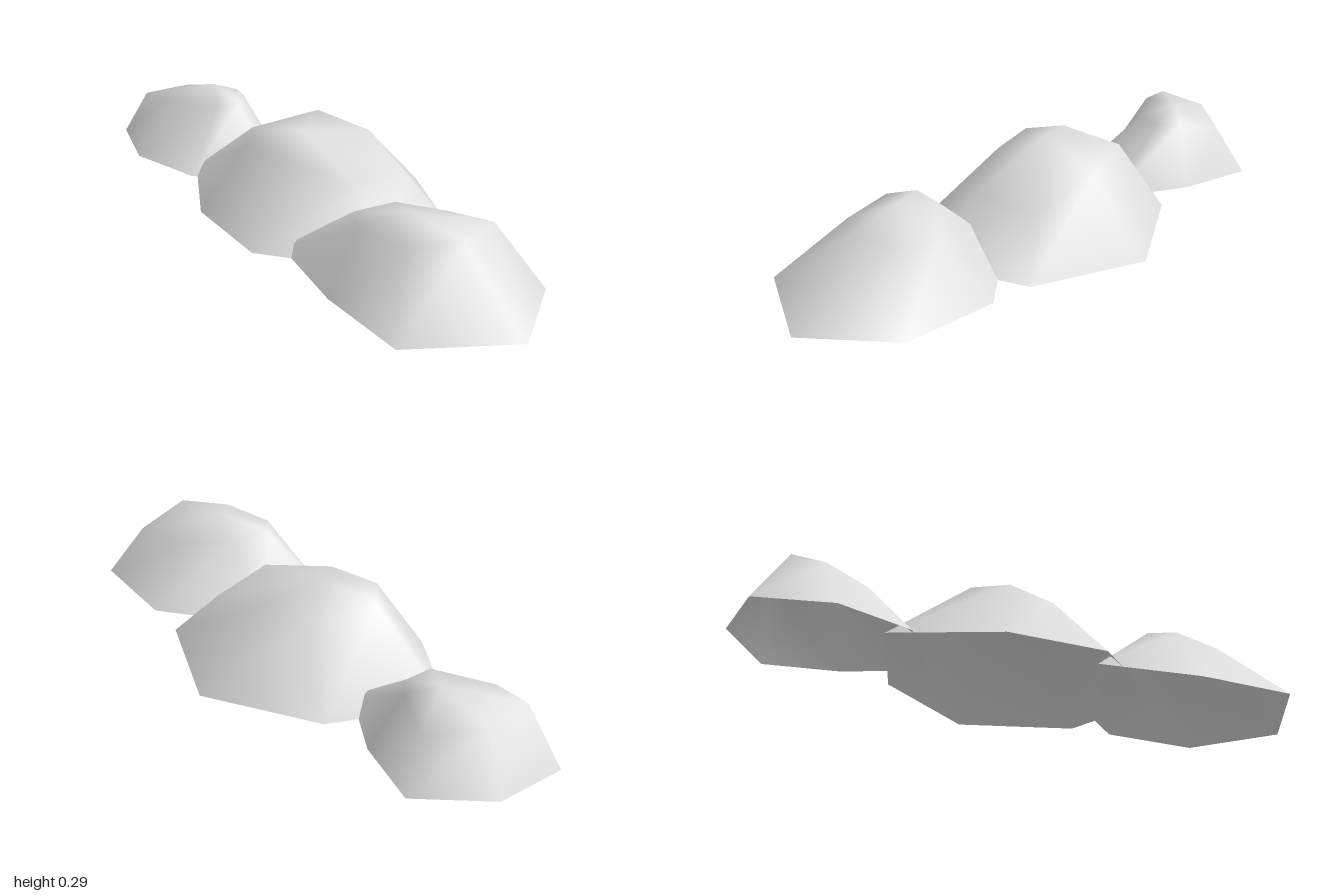
import * as THREE from 'three';

// Each mound: apex, then [base x, base z, shoulder x, shoulder y, shoulder z] around it.
const mounds = [
  {
    name: 'backMound',
    apex: [-0.63, 0.24, -0.34],
    ring: [
      [-0.26, -0.22, -0.5, 0.2, -0.31],
      [-0.52, -0.04, -0.54, 0.205, -0.23],
      [-0.8, -0.08, -0.75, 0.2, -0.2],
      [-1.0, -0.25, -0.87, 0.19, -0.23],
      [-0.9, -0.48, -0.81, 0.18, -0.4],
      [-0.65, -0.605, -0.64, 0.165, -0.5],
      [-0.44, -0.45, -0.53, 0.2, -0.39],
    ],
  },
  {
    name: 'middleMound',
    apex: [-0.05, 0.29, -0.04],
    ring: [
      [0.465, -0.18, 0.3, 0.175, -0.15],
      [0.44, 0.21, 0.25, 0.195, 0.08],
      [0.0, 0.335, 0.0, 0.245, 0.11],
      [-0.32, 0.18, -0.19, 0.25, 0.08],
      [-0.56, -0.12, -0.25, 0.255, -0.04],
      [-0.26, -0.405, -0.13, 0.265, -0.28],
      [0.17, -0.47, 0.09, 0.245, -0.26],
    ],
  },
  {
    name: 'frontMound',
    apex: [0.53, 0.25, 0.24],
    ring: [
      [0.91, 0.04, 0.74, 0.205, 0.08],
      [1.0, 0.37, 0.74, 0.228, 0.29],
      [0.69, 0.605, 0.6, 0.205, 0.38],
      [0.37, 0.46, 0.4, 0.21, 0.34],
      [0.06, 0.25, 0.34, 0.21, 0.26],
      [0.23, 0.0, 0.42, 0.215, 0.14],
      [0.6, -0.11, 0.58, 0.195, 0.07],
    ],
  },
];

// Smooth open-bottomed shell: base loop, shoulder loop and a peak.
function moundGeometry({ apex, ring }) {
  const n = ring.length;
  const positions = [];
  ring.forEach(([x, z]) => positions.push(x, 0, z));
  ring.forEach(([, , x, y, z]) => positions.push(x, y, z));
  positions.push(...apex);

  const index = [];
  for (let i = 0; i < n; i++) {
    const j = (i + 1) % n;
    index.push(i, n + i, j, j, n + i, n + j, n + i, 2 * n, n + j);
  }
  const geometry = new THREE.BufferGeometry();
  geometry.setAttribute('position', new THREE.Float32BufferAttribute(positions, 3));
  geometry.setIndex(index);
  geometry.computeVertexNormals();
  return geometry;
}

export function createModel() {
  const group = new THREE.Group();
  group.name = 'mounds';
  const paleGrey = new THREE.MeshStandardMaterial({ color: 0xdcdcdc, side: THREE.DoubleSide });
  paleGrey.name = 'pale grey';

  for (const mound of mounds) {
    const mesh = new THREE.Mesh(moundGeometry(mound), paleGrey);
    mesh.name = mound.name;
    group.add(mesh);
  }
  return group;
}
